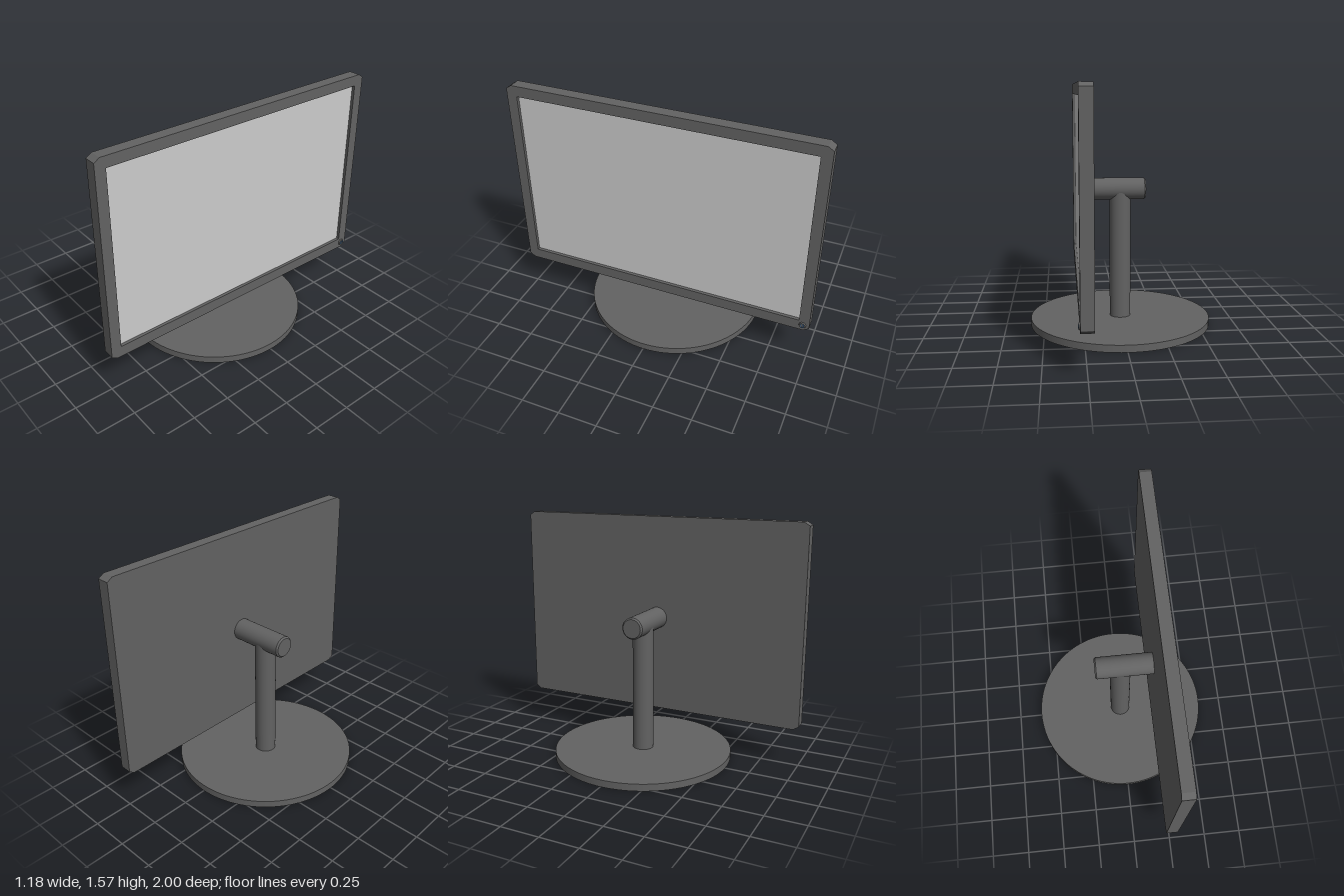
import * as THREE from 'three';

const dark = new THREE.MeshStandardMaterial({ color: 0x626262 });
const grey = new THREE.MeshStandardMaterial({ color: 0xcccccc });
const blue = new THREE.MeshStandardMaterial({ color: 0x2f6fb5 });

const BACK = 0.212, RECESS = 0.268, FRONT = 0.29; // x planes of the display
const BOTTOM = 0.255, TOP = 1.572, HALF = 1;

// Points run along (z, y); extrusion goes along +x
function extrudeX(shape, x0, x1) {
  const geo = new THREE.ExtrudeGeometry(shape, { depth: x1 - x0, bevelEnabled: false });
  return geo.rotateY(Math.PI / 2).translate(x0, 0, 0);
}

function points(list) {
  return list.map(([a, b]) => new THREE.Vector2(a, b));
}

// Rectangle with clipped corners
function outline() {
  const cz = 0.035, cy = 0.023;
  return new THREE.Shape(points([
    [-HALF + cz, BOTTOM], [HALF - cz, BOTTOM], [HALF, BOTTOM + cy], [HALF, TOP - cy],
    [HALF - cz, TOP], [-HALF + cz, TOP], [-HALF, TOP - cy], [-HALF, BOTTOM + cy],
  ]));
}

export function createModel() {
  const group = new THREE.Group();
  const add = (name, geo, mat = dark) => {
    const mesh = new THREE.Mesh(geo, mat);
    mesh.name = name;
    group.add(mesh);
    return mesh;
  };

  // Round foot and upright pole
  add('base', new THREE.CylinderGeometry(0.59, 0.59, 0.046, 96)).position.y = 0.023;
  add('pole', new THREE.CylinderGeometry(0.0685, 0.0685, 0.85, 48)).position.y = 0.47;

  // Horizontal arm with a chamfered rear end
  const armLength = 0.385, r = 0.071, c = 0.01;
  const side = new THREE.CylinderGeometry(r, r, armLength - c, 48, 1, true).translate(0, (armLength + c) / 2, 0);
  const chamfer = new THREE.CylinderGeometry(r, r - c, c, 48).translate(0, c / 2, 0);
  const arm = new THREE.Group();
  arm.name = 'arm';
  for (const [name, geo] of [['armTube', side], ['armEnd', chamfer]]) {
    const mesh = new THREE.Mesh(geo, dark);
    mesh.name = name;
    arm.add(mesh);
  }
  arm.rotation.z = -Math.PI / 2;
  arm.position.set(-0.165, 0.896, 0);
  group.add(arm);

  // Display: rear shell, bezel and recessed screen
  add('displayShell', extrudeX(outline(), BACK, RECESS));
  const bezel = outline();
  const hz = 0.933, y0 = 0.328, y1 = 1.503;
  bezel.holes.push(new THREE.Path(points([[-hz, y0], [-hz, y1], [hz, y1], [hz, y0]])));
  add('bezel', extrudeX(bezel, RECESS, FRONT));
  add('screen', new THREE.BoxGeometry(0.004, y1 - y0, hz * 2))
    .position.set(RECESS, (y0 + y1) / 2, 0);

  group.getObjectByName('screen').material = grey;

  // Power button with a raised ring and tick
  const button = new THREE.Group();
  button.name = 'powerButton';
  const cap = new THREE.Mesh(new THREE.CylinderGeometry(0.018, 0.023, 0.008, 32), dark);
  cap.name = 'buttonCap';
  cap.rotation.z = -Math.PI / 2;
  cap.position.x = 0.004;
  const ring = new THREE.Mesh(new THREE.TorusGeometry(0.011, 0.002, 8, 32, Math.PI * 1.6), blue);
  ring.name = 'buttonRing';
  ring.rotation.set(0, Math.PI / 2, Math.PI * 0.7);
  ring.position.x = 0.008;
  const tick = new THREE.Mesh(new THREE.BoxGeometry(0.003, 0.012, 0.003), blue);
  tick.name = 'buttonTick';
  tick.position.set(0.008, 0.009, 0);
  button.add(cap, ring, tick);
  button.position.set(FRONT, 0.295, -0.957);
  group.add(button);

  return group;
}
